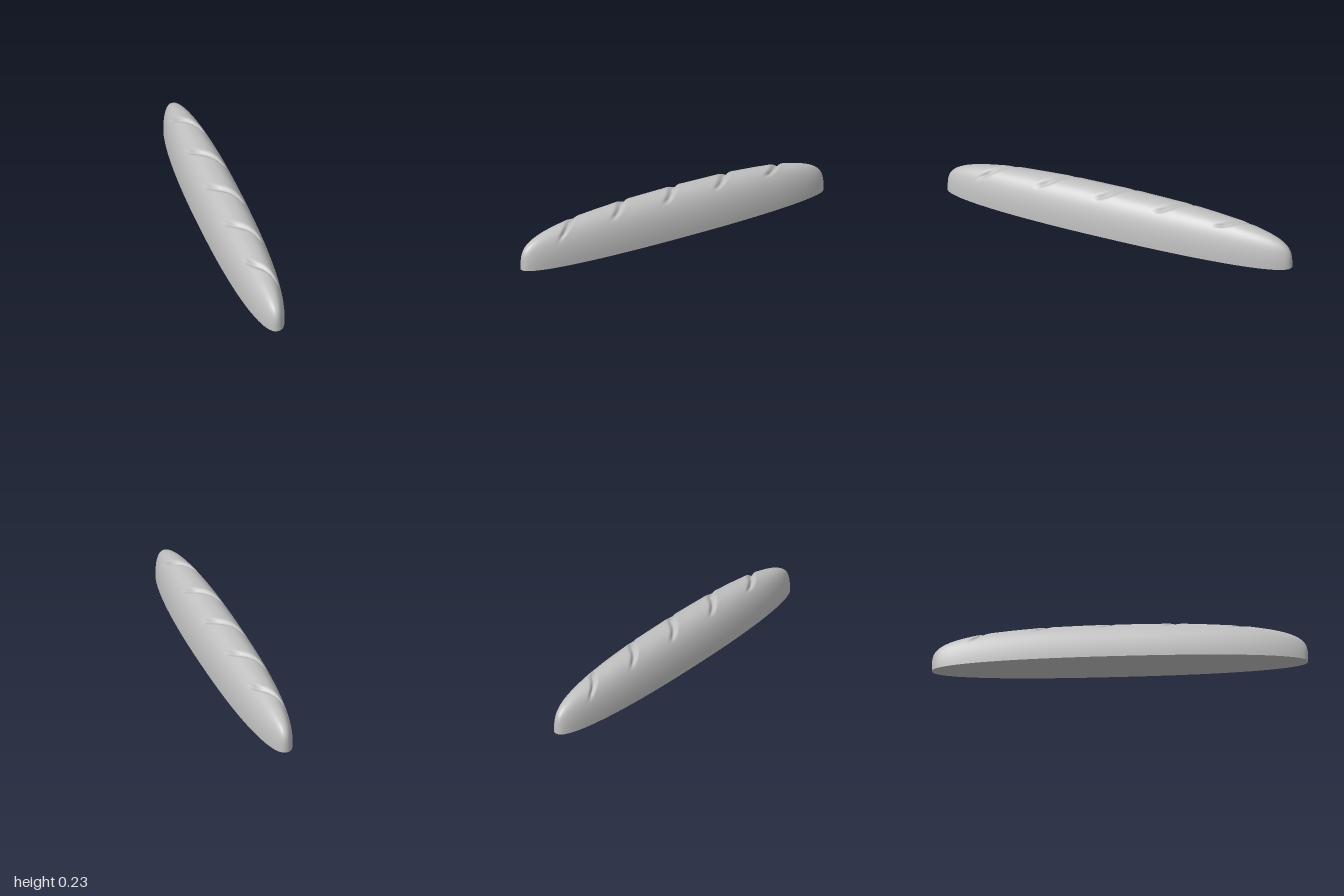
import * as THREE from 'three';

const HALF_WIDTH = 0.132, HEIGHT = 0.233;

// Outline of the loaf along its length
const taper = z => Math.max(0, 1 - Math.pow(Math.abs(z), 2.3));
const widthAt = z => HALF_WIDTH * Math.pow(taper(z), 0.435);
const heightAt = z => HEIGHT * Math.pow(taper(z), 0.244);
const signedPow = (v, p) => Math.sign(v) * Math.pow(Math.abs(v), p);

// Five S-curved diagonal scores: centre along z and half span in x
const scores = [[-0.685, 0.066], [-0.342, 0.079], [0, 0.083], [0.342, 0.079], [0.685, 0.066]];

function scoreDepth(x, z) {
  let depth = 0;
  for (const [centre, span] of scores) {
    const u = x / span;
    const curve = centre + 0.065 * u + 0.04 * u * u * u;
    const d = (z - curve) / 0.021;
    const fade = 1 - THREE.MathUtils.smoothstep(Math.abs(u), 0.75, 1.08);
    // groove with softly raised lips
    depth += fade * (0.019 * Math.exp(-d * d) - 0.003 * Math.exp(-d * d / 5));
  }
  return depth;
}

export function createModel() {
  const model = new THREE.Group();
  model.name = 'loaf';
  const crust = new THREE.MeshStandardMaterial({ color: 0xc0c0c0 });
  crust.name = 'crust grey';

  // Domed, scored crust
  const dome = new THREE.PlaneGeometry(1, 1, 72, 480);
  const pos = dome.attributes.position;
  for (let i = 0; i < pos.count; i++) {
    const a = (pos.getX(i) + 0.5) * Math.PI;
    const z = Math.sin(pos.getY(i) * Math.PI);
    const c = Math.cos(a), s = Math.max(0, Math.sin(a));
    const x = widthAt(z) * signedPow(c, 2 / 2.3);
    const y = heightAt(z) * Math.pow(s, 2 / 2.3);
    const depth = y > 0.12 ? scoreDepth(x, z) : 0;
    pos.setXYZ(i, x - depth * c, y - depth * s, z);
  }
  dome.computeVertexNormals();
  const top = new THREE.Mesh(dome, crust);
  top.name = 'scoredCrust';
  model.add(top);

  // Flat underside
  const outline = [];
  const steps = 160;
  for (let i = 0; i < steps; i++) {
    const t = (i / steps) * Math.PI * 2;
    const z = Math.sin(t);
    outline.push(new THREE.Vector2(Math.sign(Math.cos(t)) * widthAt(z), z));
  }
  const base = new THREE.ShapeGeometry(new THREE.Shape(outline));
  base.rotateX(Math.PI / 2);
  const bottom = new THREE.Mesh(base, crust);
  bottom.name = 'flatBase';
  model.add(bottom);

  return model;
}
